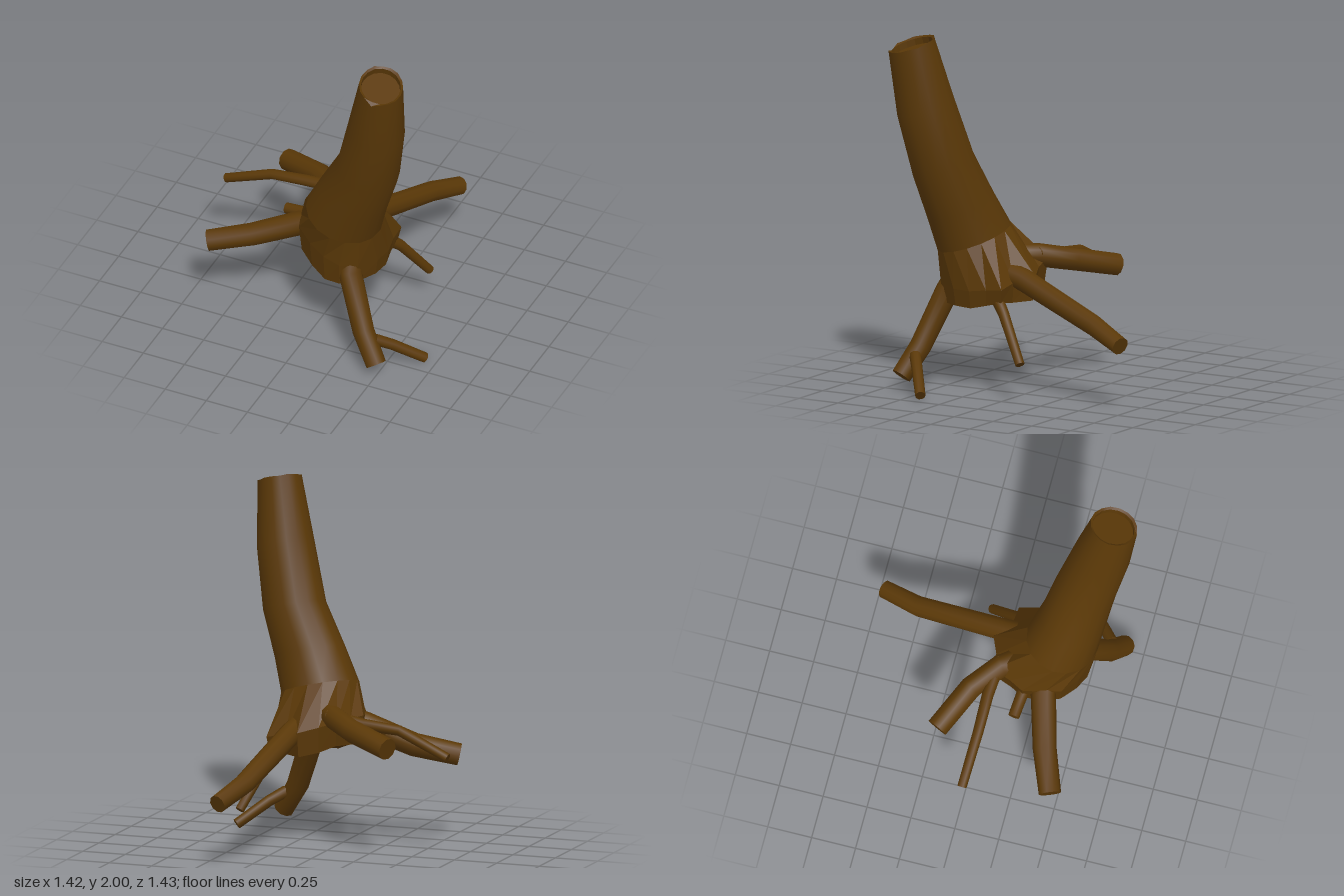
import * as THREE from 'three';
import { toCreasedNormals } from 'three/addons/utils/BufferGeometryUtils.js';

const SIDES = 16;
const bark = new THREE.MeshStandardMaterial({ color: 0x5a3807, side: THREE.DoubleSide });
const flatBark = bark.clone();
flatBark.flatShading = true;
const V = (x, y, z) => new THREE.Vector3(x, y, z);

// Skin a list of closed rings, optionally closing the two ends
function loft(rings, capStart, capEnd, crease = 0.6) {
  const pos = [];
  const tri = (a, b, c) => [a, b, c].forEach((p) => pos.push(p.x, p.y, p.z));
  const n = rings[0].length;
  for (let i = 0; i < rings.length - 1; i++) {
    for (let j = 0; j < n; j++) {
      const k = (j + 1) % n;
      const a = rings[i][j], b = rings[i][k], c = rings[i + 1][k], d = rings[i + 1][j];
      tri(a, b, c);
      tri(a, c, d);
    }
  }
  const cap = (ring, flip) => {
    const mid = ring.reduce((s, p) => s.add(p), V(0, 0, 0)).divideScalar(n);
    ring.forEach((p, j) => {
      const q = ring[(j + 1) % n];
      if (flip) tri(mid, q, p); else tri(mid, p, q);
    });
  };
  if (capStart) cap(rings[0], true);
  if (capEnd) cap(rings[rings.length - 1], false);
  const geo = new THREE.BufferGeometry();
  geo.setAttribute('position', new THREE.Float32BufferAttribute(pos, 3));
  geo.computeVertexNormals();
  return crease ? toCreasedNormals(geo, crease) : geo;
}

// Tilted elliptical ring across the leaning trunk
function trunkRing(cx, cy, cz, rx, rz, slope = 0.24) {
  return Array.from({ length: SIDES }, (_, j) => {
    const a = (-j / SIDES) * Math.PI * 2;
    const dx = Math.cos(a) * rx, dz = Math.sin(a) * rz;
    return V(cx + dx, cy - slope * (dx + dz), cz + dz);
  });
}

// Tapered, bent root with round sections and cut ends
function rootGeometry(points, r0, r1, sides = 10) {
  const pts = points.map((p) => V(...p));
  const last = pts.length - 1;
  const rings = pts.map((p, i) => {
    const t = V(0, 0, 0);
    if (i > 0) t.add(p.clone().sub(pts[i - 1]).normalize());
    if (i < last) t.add(pts[i + 1].clone().sub(p).normalize());
    t.normalize();
    const u = V(0, 1, 0).cross(t).normalize();
    const v = t.clone().cross(u);
    const r = r0 + (r1 - r0) * (i / last);
    return Array.from({ length: sides }, (_, j) => {
      const a = (j / sides) * Math.PI * 2;
      return p.clone().addScaledVector(u, r * Math.cos(a)).addScaledVector(v, r * Math.sin(a));
    });
  });
  return loft(rings, true, true, 0.8);
}

export function createModel() {
  const group = new THREE.Group();
  const add = (name, geo, mat = bark) => {
    const mesh = new THREE.Mesh(geo, mat);
    mesh.name = name;
    group.add(mesh);
  };

  // Leaning trunk, ending in a slightly ragged rim
  const collar = trunkRing(0.181, 0.845, 0.37, 0.218, 0.198);
  const rim = trunkRing(0.5, 1.957, 0.58, 0.12, 0.13);
  rim.forEach((p, j) => { p.y += 0.003 * Math.sin(j * 2.3); });
  rim[12].y -= 0.025;
  add('trunk', loft([
    collar,
    trunkRing(0.257, 1.03, 0.412, 0.198, 0.18),
    trunkRing(0.365, 1.27, 0.457, 0.175, 0.168),
    trunkRing(0.445, 1.61, 0.525, 0.158, 0.157),
    rim,
  ], false, false));

  // Rim lip and the sunken cut surface inside it
  add('cutTop', loft([
    rim,
    trunkRing(0.498, 1.95, 0.578, 0.108, 0.117),
    trunkRing(0.492, 1.915, 0.572, 0.108, 0.117),
  ], false, true, 0.3));

  // Fluted base: an uneven outline (x, z) that spreads from the collar to the roots
  const outline = [
    [0.4, 0.27], [0.385, 0.17], [0.385, 0.07], [0.27, 0.06], [0.17, -0.02], [0.06, 0.025],
    [-0.045, 0.03], [-0.085, 0.14], [-0.13, 0.22], [-0.1, 0.34], [-0.07, 0.43], [0.03, 0.5],
    [0.13, 0.54], [0.23, 0.55], [0.32, 0.5], [0.385, 0.38],
  ];
  const baseRing = (scale, y, left, right, back, front) => outline.map(([x, z]) => {
    const dx = (x - 0.15) * scale, dz = (z - 0.28) * scale;
    return V(0.15 + dx, y + left * Math.max(0, -dx) + right * Math.max(0, dx)
      + back * Math.max(0, -dz) + front * Math.max(0, dz), 0.28 + dz);
  });
  const foot = baseRing(0.94, 0.445, 0.45, 0.15, 0.25, 0.08);
  const middle = baseRing(1, 0.63, 0.35, -0.2, 0.1, 0);
  add('flaredBase', loft([foot, middle, collar], true, false, 0), flatBark);

  // Roots: name, path, start radius, end radius
  const roots = [
    ['frontRoot', [[0.24, 0.65, 0.43], [0.27, 0.54, 0.49], [0.395, 0.24, 0.585], [0.5, 0.085, 0.645]], 0.07, 0.057],
    ['frontRootlet', [[0.46, 0.2, 0.58], [0.54, 0.15, 0.52], [0.688, 0.03, 0.408]], 0.033, 0.029],
    ['rightFrontRoot', [[0.02, 0.69, 0.31], [-0.1, 0.66, 0.335], [-0.36, 0.55, 0.41], [-0.59, 0.495, 0.5]], 0.074, 0.062],
    ['rightThinRoot', [[0.02, 0.75, 0.06], [-0.2, 0.72, 0.043], [-0.41, 0.7, 0.045], [-0.7, 0.57, 0.028]], 0.036, 0.026],
    ['rightStubRoot', [[0, 0.67, 0.25], [-0.1, 0.645, 0.22], [-0.25, 0.625, 0.205]], 0.036, 0.032],
    ['rightBackRoot', [[0.04, 0.735, 0.15], [-0.02, 0.735, 0.07], [-0.17, 0.7, -0.06], [-0.425, 0.64, -0.185]], 0.067, 0.062],
    ['backRoot', [[0.21, 0.67, 0.17], [0.225, 0.64, 0.02], [0.305, 0.45, -0.48], [0.383, 0.37, -0.695]], 0.07, 0.052],
    ['leftBackRootlet', [[0.33, 0.54, 0.13], [0.375, 0.47, 0.06], [0.475, 0.22, -0.105]], 0.035, 0.026],
  ];
  for (const [name, path, r0, r1] of roots) add(name, rootGeometry(path, r0, r1));

  return group;
}
